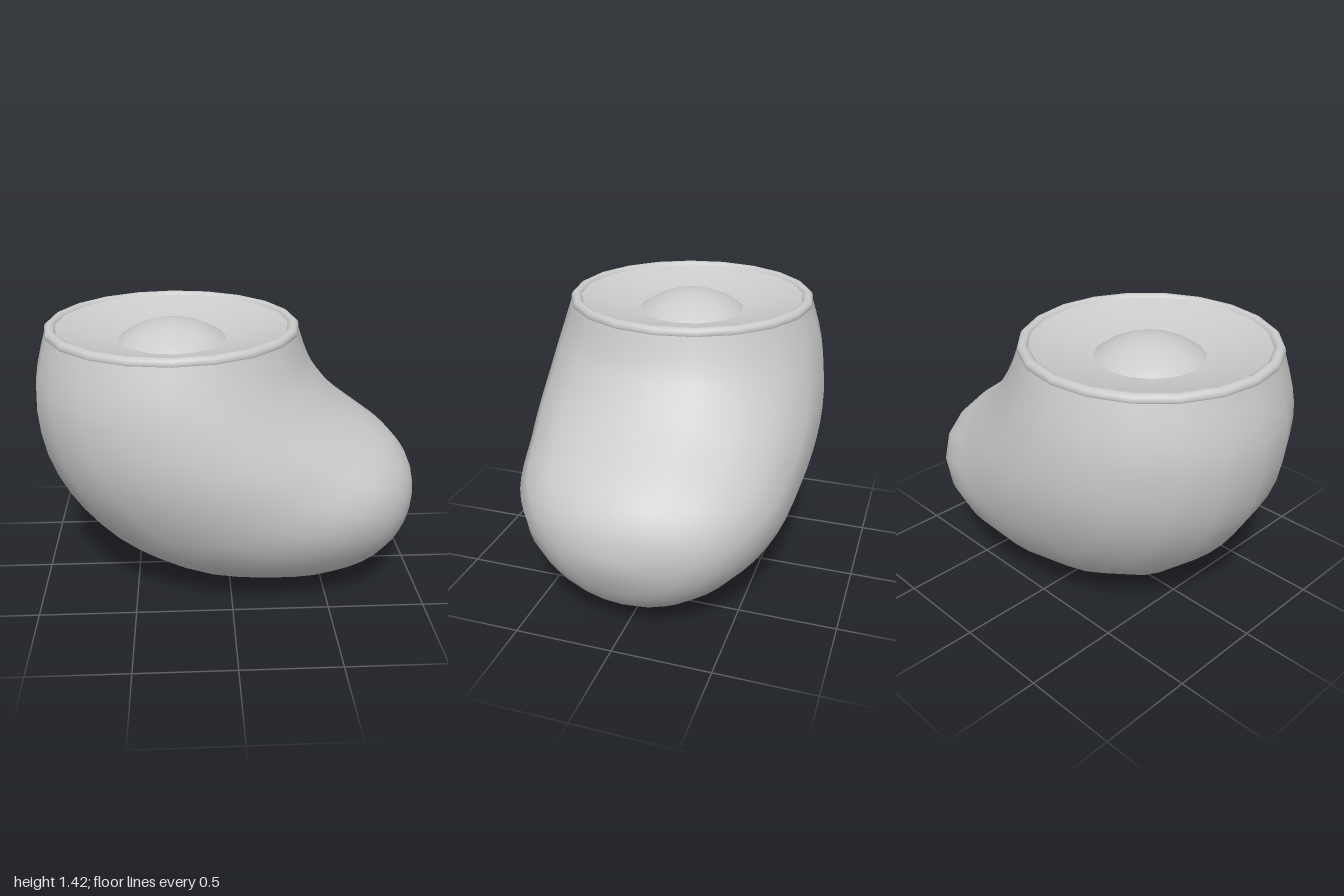
import * as THREE from 'three';

const SIDES = 20;
const RINGS = 26;
const OPENING_X = -0.285;

// Each section: heel/sole point (x, y), instep/toe point (x, y),
// half width in z, shift of the widest point towards the instep
const SECTIONS = [
  [-0.925, 1.395, 0.355, 1.395, 0.64, 0],
  [-0.98, 1.20, 0.39, 1.29, 0.69, 0],
  [-1.00, 1.02, 0.43, 1.20, 0.725, 0.01],
  [-0.965, 0.78, 0.49, 1.12, 0.75, 0.02],
  [-0.87, 0.56, 0.55, 1.05, 0.757, 0.04],
  [-0.72, 0.36, 0.62, 0.985, 0.747, 0.06],
  [-0.52, 0.19, 0.70, 0.925, 0.725, 0.07],
  [-0.22, 0.065, 0.78, 0.865, 0.695, 0.08],
  [0.10, 0.02, 0.85, 0.81, 0.645, 0.08],
  [0.38, 0.004, 0.91, 0.75, 0.565, 0.08],
  [0.60, 0.04, 0.955, 0.685, 0.47, 0.07],
  [0.77, 0.11, 0.98, 0.63, 0.36, 0.05],
  [0.89, 0.22, 0.993, 0.57, 0.24, 0.03],
  [0.963, 0.36, 1.00, 0.50, 0.10, 0],
];

// Skin of tilted egg-shaped sections, closed by a point at the toe
function bodyGeometry() {
  const curve = (pick) => new THREE.CatmullRomCurve3(
    SECTIONS.map((s) => new THREE.Vector3(...pick.map((k) => s[k]))), false, 'catmullrom', 0.5);
  const sole = curve([0, 1, 4]);
  const instep = curve([2, 3, 5]);
  const pos = [], index = [];
  for (let i = 0; i <= RINGS; i++) {
    const a = sole.getPoint(i / RINGS), b = instep.getPoint(i / RINGS);
    for (let j = 0; j < SIDES; j++) {
      const t = (j / SIDES) * Math.PI * 2;
      const k = (1 + Math.cos(t)) / 2 + b.z * Math.sin(t) ** 2;
      pos.push(a.x + (b.x - a.x) * k, a.y + (b.y - a.y) * k, a.z * Math.sin(t));
    }
  }
  const pole = pos.length / 3;
  pos.push(0.99, 0.43, 0);
  for (let i = 0; i <= RINGS; i++) {
    for (let j = 0; j < SIDES; j++) {
      const a = i * SIDES + j, b = i * SIDES + (j + 1) % SIDES;
      if (i === RINGS) index.push(a, b, pole);
      else index.push(a, b, a + SIDES, b, b + SIDES, a + SIDES);
    }
  }
  const g = new THREE.BufferGeometry();
  g.setAttribute('position', new THREE.Float32BufferAttribute(pos, 3));
  g.setIndex(index);
  g.computeVertexNormals();
  return g;
}

export function createModel() {
  const group = new THREE.Group();
  const material = new THREE.MeshStandardMaterial({ color: 0xcccccc });
  const thin = new THREE.MeshStandardMaterial({ color: 0xcccccc, side: THREE.DoubleSide });
  const add = (name, geometry, mat, y = 0) => {
    const mesh = new THREE.Mesh(geometry, mat);
    mesh.name = name;
    mesh.position.set(OPENING_X, y, 0);
    group.add(mesh);
    return mesh;
  };

  add('body', bodyGeometry(), material).position.x = 0;

  // Rounded lip around the opening
  add('rim', new THREE.TorusGeometry(0.617, 0.03, 10, SIDES).rotateX(Math.PI / 2), material, 1.39);

  // Shallow bowl inside the opening
  const bowl = [0, 0.15, 0.28, 0.39, 0.5, 0.6].map((r) => new THREE.Vector2(r, 1.305 + 0.28 * r * r));
  add('bowl', new THREE.LatheGeometry(bowl, SIDES), thin);

  // Low dome in the middle of the bowl
  const baseRadius = 0.28, height = 0.1;
  const R = (baseRadius ** 2 + height ** 2) / (2 * height);
  const dome = new THREE.SphereGeometry(R, 16, 6, 0, Math.PI * 2, 0, Math.asin(baseRadius / R));
  add('ankleDome', dome, thin, 1.325 + height - R);

  return group;
}
